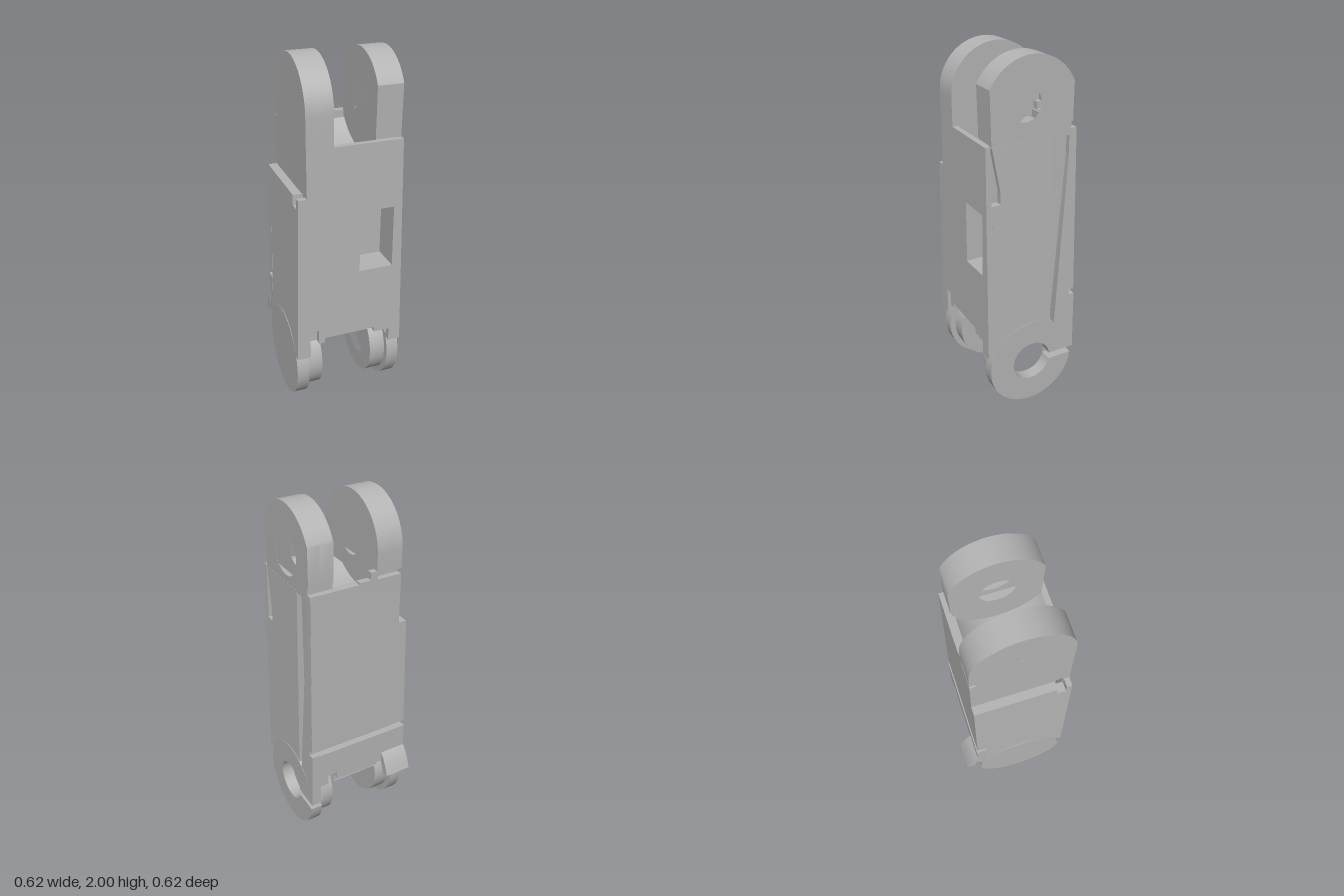
import * as THREE from 'three';
import { toCreasedNormals } from 'three/addons/utils/BufferGeometryUtils.js';

const CZ = 0.037, TOP = 1.74, LOW = 0.26; // pivot axes

// points on an arc in the side plane, as [z, y]
function arc(cy, r, a0, a1, n = 40) {
  return Array.from({ length: n + 1 }, (_, i) => {
    const a = a0 + (a1 - a0) * i / n;
    return [CZ + r * Math.cos(a), cy + r * Math.sin(a)];
  });
}
const circle = (cy, r) => arc(cy, r, 0, Math.PI * 2, 48).slice(0, -1);

// outer faces lean outwards towards the bottom
const lean = y => Math.max(0, (1.58 - y) / 1.215);

export function createModel() {
  const group = new THREE.Group();
  const grey = new THREE.MeshStandardMaterial({ color: 0xb4b4b4 });
  grey.name = 'plain grey';

  function add(name, geometry) {
    const mesh = new THREE.Mesh(toCreasedNormals(geometry, 0.5), grey);
    mesh.name = name;
    group.add(mesh);
  }
  function move(geometry, rule) {
    const p = geometry.attributes.position, v = new THREE.Vector3();
    for (let i = 0; i < p.count; i++) {
      rule(v.fromBufferAttribute(p, i));
      p.setXYZ(i, v.x, v.y, v.z);
    }
    return geometry;
  }
  function shapeOf(points, holes) {
    const vec = list => list.map(([a, b]) => new THREE.Vector2(a, b));
    const shape = new THREE.Shape(vec(points));
    for (const h of holes) shape.holes.push(new THREE.Path(vec(h)));
    return shape;
  }
  // side profile [z, y] extruded from x0 to x1
  function slab(name, x0, x1, points, holes = [], rule) {
    const flip = list => list.map(([z, y]) => [-z, y]);
    const g = new THREE.ExtrudeGeometry(shapeOf(flip(points), holes.map(flip)),
      { depth: x1 - x0, bevelEnabled: false });
    g.rotateY(Math.PI / 2).translate(x0, 0, 0);
    add(name, rule ? move(g, rule) : g);
  }
  // front profile [x, y] extruded from z0 to z1
  function plate(name, z0, z1, points, holes = [], rule) {
    const g = new THREE.ExtrudeGeometry(shapeOf(points, holes), { depth: z1 - z0, bevelEnabled: false });
    g.translate(0, 0, z0);
    add(name, rule ? move(g, rule) : g);
  }

  // core, in slices across x
  const F = 0.27, B = -0.2;
  const pocket = [[F, 0.86], [0.14, 0.86], [0.14, 1.21], [F, 1.21]];
  const slot = [[0.226, 1.27], [0.264, 1.27], [0.264, 1.34], [0.226, 1.34]];
  const saddleEnd = Math.asin(0.16 / 0.28);
  const upperSaddle = arc(TOP, 0.28, -saddleEnd, -Math.PI + saddleEnd);
  const lowerSaddle = arc(LOW, 0.265, Math.PI - 0.42, 0.95);
  const middle = p => [[F, 0.475], ...p, [F, 1.58], ...upperSaddle, [B, 1.58], [B, 0.368], ...lowerSaddle];
  const side = p => [[F, 0.445], ...p, [F, 1.58], [B, 1.58], [B, 0.42]];
  slab('coreMiddle', -0.15, 0.05, middle([]), [slot]);
  slab('coreMiddleWithPocket', 0.05, 0.145, middle(pocket), [slot]);
  slab('coreRight', -0.24, -0.15, side([]), [slot]);
  slab('coreLeftWithPocket', 0.145, 0.24, side(pocket), [slot]);
  slab('coreLeft', 0.24, 0.255, side([]), [slot]);

  // front wall with window and lower notches
  plate('frontWall', F, 0.297, [
    [-0.31, 0.365], [-0.235, 0.365], [-0.235, 0.53], [-0.185, 0.53], [-0.185, 0.445], [-0.15, 0.445],
    [-0.15, 0.475], [0.145, 0.475], [0.145, 0.445], [0.235, 0.445], [0.235, 0.365], [0.305, 0.365],
    [0.28, 1.58], [-0.24, 1.58], [-0.24, 1.325], [-0.287, 1.325]],
  [[[0.05, 0.86], [0.24, 0.86], [0.24, 1.21], [0.05, 1.21]]],
  v => { if (v.z > 0.28) v.z += 0.013 * lean(v.y); });

  // rear wall, a groove, then the lower cover
  plate('rearWall', -0.223, -0.18, [
    [-0.305, 0.66], [0.299, 0.66], [0.28, 1.605], [0.005, 1.605], [0.005, 1.61], [-0.24, 1.61],
    [-0.24, 1.325], [-0.287, 1.325]], [],
  v => { if (v.z < -0.2) v.z -= 0.013 * lean(v.y); });
  plate('rearCover', -0.238, -0.18, [
    [-0.307, 0.36], [-0.27, 0.36], [-0.27, 0.43], [-0.15, 0.43], [-0.15, 0.42], [0.145, 0.42],
    [0.145, 0.46], [0.2, 0.46], [0.2, 0.40], [0.3, 0.40], [0.297, 0.625], [-0.307, 0.625]]);
  plate('rearStep', -0.223, -0.19, [
    [-0.1, 1.58], [0.005, 1.58], [0.005, 1.615], [-0.06, 1.615], [-0.06, 1.655], [-0.1, 1.655]]);

  // left side skin with the narrowing channel
  const leanLeft = v => { if (v.x > 0.27) v.x = 0.281 + 0.024 * lean(v.y); };
  slab('leftSideSkin', 0.25, 0.28, [
    [F, 0.365], [F, 1.27], [0.22, 1.27], [0.22, 1.34], [0.264, 1.58], [-0.08, 1.58], [-0.08, 0.38]], [], leanLeft);
  slab('leftSideStrip', 0.25, 0.28, [
    [-0.19, 1.605], [-0.222, 1.605], [-0.232, 0.66], [-0.205, 0.66], [-0.205, 0.63],
    [-0.236, 0.63], [-0.236, 0.275], [-0.11, 0.275], [-0.1, 0.38]], [], leanLeft);

  // right side skin, ending in a ledge
  slab('rightSideSkin', -0.28, -0.235, [
    [F, 0.365], [F, 1.27], [0.22, 1.27], [0.22, 1.325], [-0.18, 1.325], [-0.18, 0.4]], [],
  v => { if (v.x < -0.27) v.x = -0.282 - 0.028 * lean(v.y); });

  // upper lugs
  const tail = [[-0.19, 1.64], [-0.19, 1.57]];
  const rightLug = [...arc(TOP, 0.26, 0, Math.PI), [-0.223, 1.64], ...tail, [0.297, 1.57]];
  const leftLug = [...arc(TOP, 0.26, 0.459, Math.PI - 0.42), [-0.2, 1.64], ...tail, [0.264, 1.57]];
  slab('rightUpperLugOuter', -0.24, -0.2, rightLug, [circle(TOP, 0.03)]);
  slab('rightUpperLugInner', -0.2, -0.095, rightLug, [circle(TOP, 0.09)]);
  slab('leftUpperLugInner', 0.14, 0.215, leftLug, [circle(TOP, 0.09)]);
  slab('leftUpperLugOuter', 0.215, 0.28, leftLug, [circle(TOP, 0.12)]);

  // lower rings, the left outer one split by a slot
  const hole = [circle(LOW, 0.117)];
  slab('rightLowerRing', -0.31, -0.24, circle(LOW, 0.26), hole);
  slab('rightLowerCollar', -0.24, -0.15, circle(LOW, 0.225), hole);
  slab('leftLowerCollar', 0.145, 0.235, circle(LOW, 0.225), hole);
  slab('leftLowerRing', 0.235, 0.305, [
    ...arc(LOW, 0.26, -Math.PI + 0.1, Math.PI - 0.06, 56),
    ...arc(LOW, 0.117, Math.PI - 0.13, -Math.PI + 0.22, 48)]);

  // curved latch at the rear
  slab('latchTab', -0.31, -0.155, [
    [-0.23, 0.49], [-0.262, 0.455], [-0.288, 0.405], [-0.308, 0.352],
    [-0.265, 0.34], [-0.25, 0.39], [-0.23, 0.43]]);
  slab('latchNeck', -0.28, -0.255, [[-0.2, 0.46], [-0.25, 0.44], [-0.27, 0.345], [-0.215, 0.33]]);

  return group;
}
